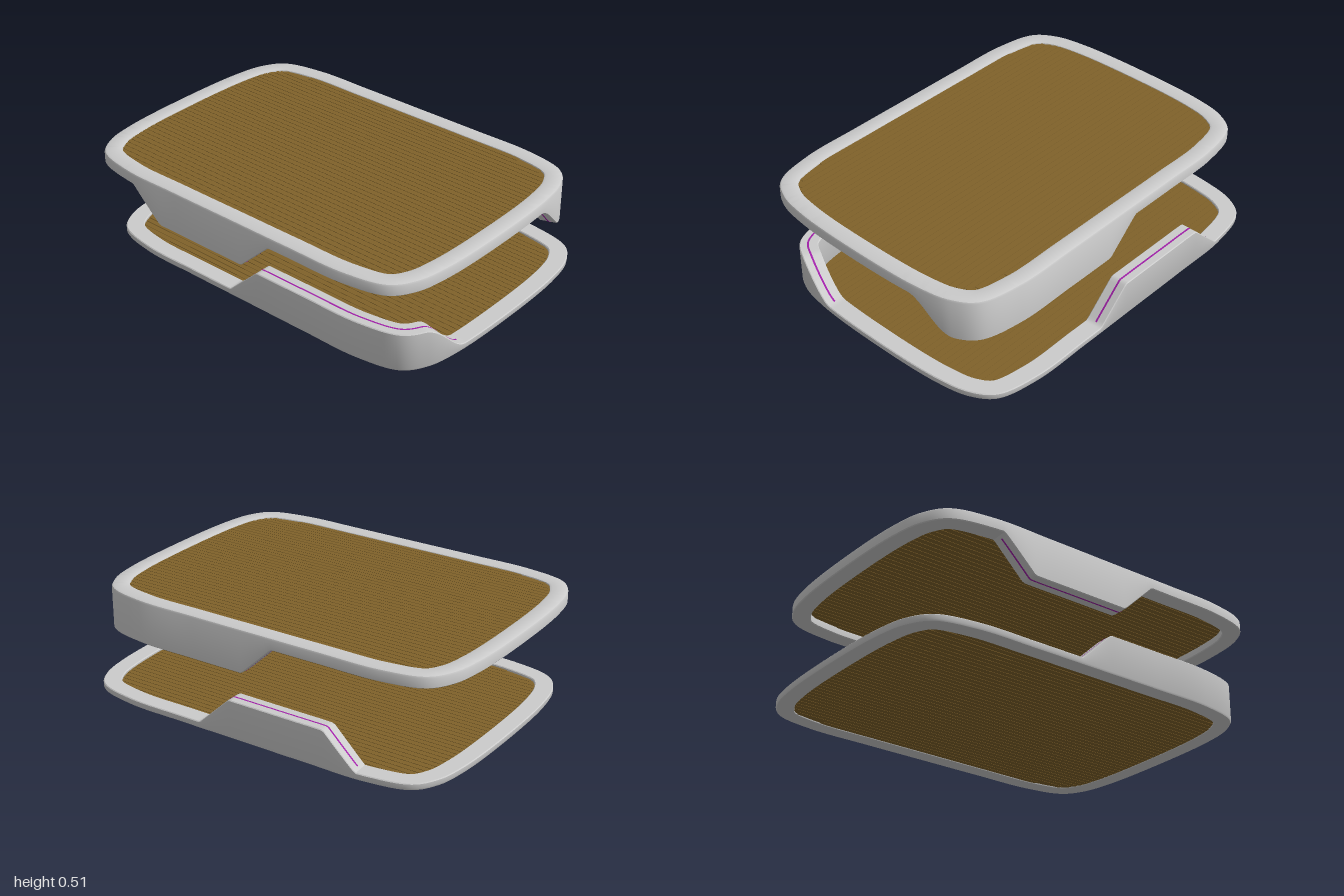
import * as THREE from 'three';
import { mergeGeometries, toCreasedNormals } from 'three/addons/utils/BufferGeometryUtils.js';

const grey = new THREE.MeshStandardMaterial({ color: 0xcccccc });
const brown = new THREE.MeshStandardMaterial({ color: 0x80622a });
const purple = new THREE.MeshStandardMaterial({ color: 0xa020a8, side: THREE.DoubleSide });

const N = 480;         // stations around the frame
const WIDTH = 0.09;    // width of the rim
const WALL = 0.16;     // height of the raised walls above the rim

// Rounded outline: one quarter, mirrored to all four
const quarter = [[1, 0], [0.985, 0.38], [0.95, 0.54], [0.875, 0.643], [0.67, 0.695], [0.35, 0.7], [0, 0.7]];
const half = [...quarter, ...quarter.slice(0, -1).reverse().map(([x, z]) => [-x, z])];
const loop = [...half, ...half.slice(1, -1).reverse().map(([x, z]) => [x, -z])];
const outline = new THREE.CatmullRomCurve3(loop.map(([x, z]) => new THREE.Vector3(x, 0, z)), true);
outline.arcLengthDivisions = 2000;

const ramp = (v, a, b) => THREE.MathUtils.clamp((v - a) / (b - a), 0, 1);

// Height of the wall above the rim: a tab at the back, a wrapped wall at the front left corner
function wallHeight(x, z) {
  if (z < -0.5) return WALL * ramp(x, -0.62, -0.45) * ramp(x, 0.24, 0.07);
  if (z > 0) return WALL * ramp(x, -0.1, 0.07) * THREE.MathUtils.smoothstep(z, 0.32, 0.56);
  return 0;
}

const stations = Array.from({ length: N }, (_, i) => {
  const p = outline.getPointAt(i / N), t = outline.getTangentAt(i / N);
  return { x: p.x, z: p.z, nx: -t.z, nz: t.x, h: wallHeight(p.x, p.z) };
});
const inset = (s, d) => [s.x + s.nx * d, s.z + s.nz * d];

// Sweeps a section of [inset, y] points around the outline
function sweep(section, closed, keep = () => true) {
  const pos = [], index = [];
  let m = 0;
  for (const s of stations) {
    const pts = section(s.h);
    m = pts.length;
    for (const [d, y] of pts) {
      const [x, z] = inset(s, d);
      pos.push(x, y, z);
    }
  }
  for (let i = 0; i < N; i++) {
    const k = (i + 1) % N;
    if (!keep(stations[i]) || !keep(stations[k])) continue;
    for (let j = 0; j < (closed ? m : m - 1); j++) {
      const n = (j + 1) % m;
      index.push(i * m + j, k * m + j, i * m + n, k * m + j, k * m + n, i * m + n);
    }
  }
  const g = new THREE.BufferGeometry();
  g.setAttribute('position', new THREE.Float32BufferAttribute(pos, 3));
  g.setIndex(index);
  return toCreasedNormals(g, 0.6);
}

// Panel: thin core with narrow slats running across
function panelGeometry() {
  const edge = stations.map(s => inset(s, WIDTH - 0.01));
  const core = new THREE.ExtrudeGeometry(new THREE.Shape(edge.map(([x, z]) => new THREE.Vector2(x, z))),
    { depth: 0.014, bevelEnabled: false });
  core.rotateX(Math.PI / 2).translate(0, 0.007, 0);
  const parts = [core.toNonIndexed()], pitch = 0.03;
  for (let r = -20; r <= 20; r++) {
    const z = r * pitch, far = Math.abs(z) + pitch / 2;
    const reach = Math.max(...edge.filter(e => Math.abs(e[1]) >= far).map(e => Math.abs(e[0])), 0);
    if (reach < 0.1) continue;
    parts.push(new THREE.BoxGeometry(2 * reach, 0.018, pitch - 0.003).translate(0, 0, z).toNonIndexed());
  }
  return mergeGeometries(parts);
}

// One half: rim with raised walls, panel and seam; y = 0 is the inner face of the rim
function tray(name, base) {
  const g = new THREE.Group();
  g.name = name;
  const add = (part, geometry, material) => {
    const mesh = new THREE.Mesh(geometry, material);
    mesh.name = part;
    g.add(mesh);
    return mesh;
  };
  add('frame', sweep(h => [
    [0, 0.012 - base], [0.004, 0.004 - base], [0.012, -base],
    [WIDTH - 0.014, -base], [WIDTH - 0.004, 0.004 - base], [WIDTH, 0.014 - base],
    [WIDTH, h - 0.004], [WIDTH - 0.004, h], [0.004, h], [0, h - 0.004],
  ], true), grey);
  add('seam', sweep(h => [[0.045, h + 0.002], [0.036, h + 0.002]], false, s => s.h > 0.002), purple);
  add('panel', panelGeometry(), brown).position.y = 0.016 - base;
  return g;
}

export function createModel() {
  const model = new THREE.Group();
  model.name = 'splitCase';
  const lower = tray('lowerTray', 0.037);
  lower.position.set(0, 0.037, -0.05);
  // The upper half is the same tray turned over
  const upper = tray('upperTray', 0.06);
  upper.rotation.x = Math.PI;
  upper.position.set(0, 0.45, 0.05);
  model.add(lower, upper);
  return model;
}
